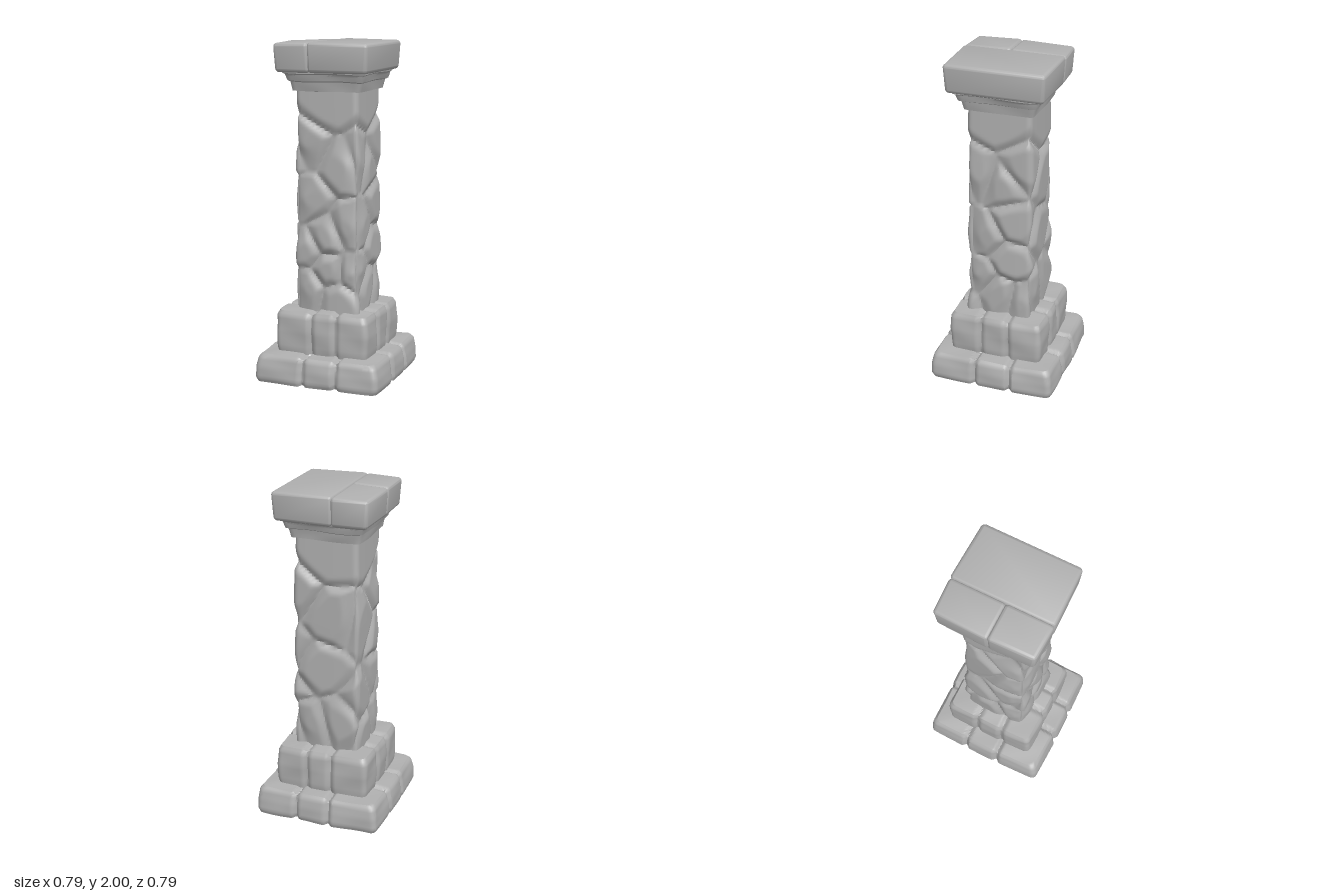
import * as THREE from 'three';
import { toCreasedNormals } from 'three/addons/utils/BufferGeometryUtils.js';
import { RoundedBoxGeometry } from 'three/addons/geometries/RoundedBoxGeometry.js';

const stone = new THREE.MeshStandardMaterial({ color: 0xb0b0b0, side: THREE.DoubleSide });
stone.name = 'grey stone';

// Cut a [radius, y] profile into short steps and give each point its outward normal
function refine(profile, step) {
  const pts = [];
  profile.forEach(([r, y], i) => {
    const next = profile[i + 1];
    if (!next) return pts.push({ r, y });
    const n = Math.max(1, Math.round(Math.hypot(next[0] - r, next[1] - y) / step));
    for (let k = 0; k < n; k++) {
      pts.push({ r: r + (next[0] - r) * k / n, y: y + (next[1] - y) * k / n });
    }
  });
  pts.forEach((p, i) => {
    const a = pts[Math.max(0, i - 1)], b = pts[Math.min(pts.length - 1, i + 1)];
    const len = Math.hypot(b.r - a.r, b.y - a.y);
    p.nr = (b.y - a.y) / len;
    p.ny = (a.r - b.r) / len;
  });
  return pts;
}

// Loft a soft-cornered square along a profile; relief(x, y, z) is the depth carved inward
function squareLoft(name, profile, { n, corner, bow, step = 0.015, relief }) {
  const rings = refine(profile, step), ring = 4 * n, pos = [], index = [];
  rings.forEach(({ r, y, nr, ny }, j) => {
    for (let i = 0; i < ring; i++) {
      const t = -1 + 2 * (i % n) / n, side = Math.floor(i / n), lim = r - corner;
      const cx = THREE.MathUtils.clamp(t * r, -lim, lim);
      const len = Math.hypot(t * r - cx, corner);
      const dx = (t * r - cx) / len, dz = corner / len;
      const s = 1 - bow * t * t;
      let x = (cx + dx * corner) * s, z = (lim + dz * corner) * s, ux = dx, uz = dz;
      for (let k = 0; k < side; k++) {
        [x, z] = [z, -x];
        [ux, uz] = [uz, -ux];
      }
      const d = relief(x, y, z);
      pos.push(x - ux * nr * d, y - ny * d, z - uz * nr * d);
      if (j < rings.length - 1) {
        const a = j * ring + i, b = j * ring + (i + 1) % ring;
        index.push(a, b, b + ring, a, b + ring, a + ring);
      }
    }
  });
  const geo = new THREE.BufferGeometry();
  geo.setAttribute('position', new THREE.Float32BufferAttribute(pos, 3));
  geo.setIndex(index);
  const mesh = new THREE.Mesh(toCreasedNormals(geo, 0.7), stone);
  mesh.name = name;
  return mesh;
}

// V-shaped joints between blocks plus a gentle hewn unevenness
const joints = (xs, zs, depth, width) => (x, y, z) => {
  const near = Math.min(...xs.map(g => Math.abs(x - g)), ...zs.map(g => Math.abs(z - g)));
  return depth * Math.max(0, 1 - near / width)
    + 0.004 * Math.sin(17 * x + 9 * y) * Math.sin(15 * z - 21 * y + 1);
};

// Centres of the stones on each face of the shaft: [across, height]
const H = 0.2;
const faces = [
  { at: (u, y) => [u, y, H], stones: [[-0.13, 1.4], [0.1, 1.28], [-0.12, 1.08], [0.14, 0.92],
    [0.0, 0.86], [-0.14, 0.78], [-0.12, 0.55], [0.02, 0.66], [0.16, 0.65], [0.08, 0.5]] },
  { at: (u, y) => [H, y, u], stones: [[0.13, 1.32], [-0.02, 1.27], [-0.14, 1.38], [-0.1, 1.03],
    [0.1, 0.92], [-0.07, 0.78], [0.14, 0.66], [0.0, 0.55], [-0.15, 0.52]] },
  { at: (u, y) => [-H, y, u], stones: [[0.14, 1.36], [-0.08, 1.2], [0.13, 1.08], [0.1, 0.82],
    [-0.1, 0.72], [0.13, 0.55], [-0.04, 0.5]] },
  { at: (u, y) => [u, y, -H], stones: [[-0.03, 1.24], [0.04, 0.93], [-0.1, 0.6], [0.11, 0.55]] },
];
const seeds = [];
faces.forEach(({ at, stones }) => {
  stones.forEach(([u, y]) => seeds.push({ p: at(u, y), id: seeds.length + 1 }));
  seeds.push({ p: at(0, 1.64), id: 0 }); // one plain band at the top
});

// Carve seams where two stones meet, and tilt each stone a little
function masonry(x, y, z) {
  const dist = seeds.map(({ p }) => Math.hypot(x - p[0], y - p[1], z - p[2]));
  let best = 0;
  dist.forEach((d, i) => { if (d < dist[best]) best = i; });
  const { p, id } = seeds[best];
  let second = Infinity;
  dist.forEach((d, i) => { if (seeds[i].id !== id) second = Math.min(second, d); });
  const edge = Math.min(1, (second - dist[best]) / 2 / 0.045);
  const tilt = 0.05 * (Math.sin(id * 2.4) * (x - p[0] + z - p[2]) + Math.cos(id * 3.7) * (y - p[1]));
  return 0.022 * (1 - edge) ** 1.4 + edge * (id ? tilt - 0.004 : 0);
}

// Cap block between two corners, with its outer edges bowed with the whole cap
function capBlock(name, x0, x1, z0, z1, top) {
  const bottom = 1.82;
  const geo = new RoundedBoxGeometry(x1 - x0, top - bottom, z1 - z0, 4, 0.022);
  geo.translate((x0 + x1) / 2, (top + bottom) / 2, (z0 + z1) / 2);
  const pos = geo.attributes.position;
  for (let i = 0; i < pos.count; i++) {
    const x = pos.getX(i), y = pos.getY(i), z = pos.getZ(i);
    const k = (y - bottom) / 0.18, taper = 0.965 + 0.035 * Math.min(1, k * 2);
    pos.setXYZ(i,
      x * (1 - 0.03 * (z / 0.3) ** 2) * taper,
      y - k * 0.012 * ((x / 0.3) ** 2 + (z / 0.3) ** 2) / 2,
      z * (1 - 0.035 * (x / 0.3) ** 2) * taper);
  }
  geo.computeVertexNormals();
  const mesh = new THREE.Mesh(toCreasedNormals(geo, 0.7), stone);
  mesh.name = name;
  return mesh;
}

export function createModel() {
  const pillar = new THREE.Group();
  pillar.name = 'stonePillar';

  // Two stepped courses, open underneath
  pillar.add(squareLoft('baseCourse',
    [[0.382, 0], [0.392, 0.025], [0.388, 0.09], [0.376, 0.15], [0.36, 0.17], [0.26, 0.176]],
    { n: 64, corner: 0.03, bow: 0.025, relief: joints([-0.08, 0.125], [-0.12, 0.1], 0.024, 0.024) }));
  pillar.add(squareLoft('plinthCourse',
    [[0.284, 0.165], [0.29, 0.2], [0.294, 0.3], [0.29, 0.39], [0.275, 0.42], [0.18, 0.426]],
    { n: 48, corner: 0.028, bow: 0.025, relief: joints([-0.06, 0.09], [-0.08, 0.09], 0.02, 0.026) }));

  // Shaft of irregular stones
  pillar.add(squareLoft('shaft',
    [[0.203, 0.41], [0.206, 0.7], [0.203, 1.2], [0.198, 1.5], [0.193, 1.72]],
    { n: 36, corner: 0.03, bow: 0.02, relief: masonry }));

  // Stepped collar under the cap
  pillar.add(squareLoft('collar',
    [[0.18, 1.71], [0.212, 1.712], [0.222, 1.765], [0.236, 1.772], [0.247, 1.808], [0.258, 1.815], [0.26, 1.84]],
    { n: 24, corner: 0.02, bow: 0.02, relief: joints([], [], 0, 1) }));

  // Cap of three fitted blocks
  const cap = new THREE.Group();
  cap.name = 'cap';
  cap.add(
    capBlock('capMainBlock', -0.078, 0.295, -0.306, 0.306, 2.0),
    capBlock('capBackBlock', -0.295, -0.072, -0.306, 0.028, 1.994),
    capBlock('capFrontBlock', -0.295, -0.072, 0.022, 0.306, 1.997));
  pillar.add(cap);
  return pillar;
}
